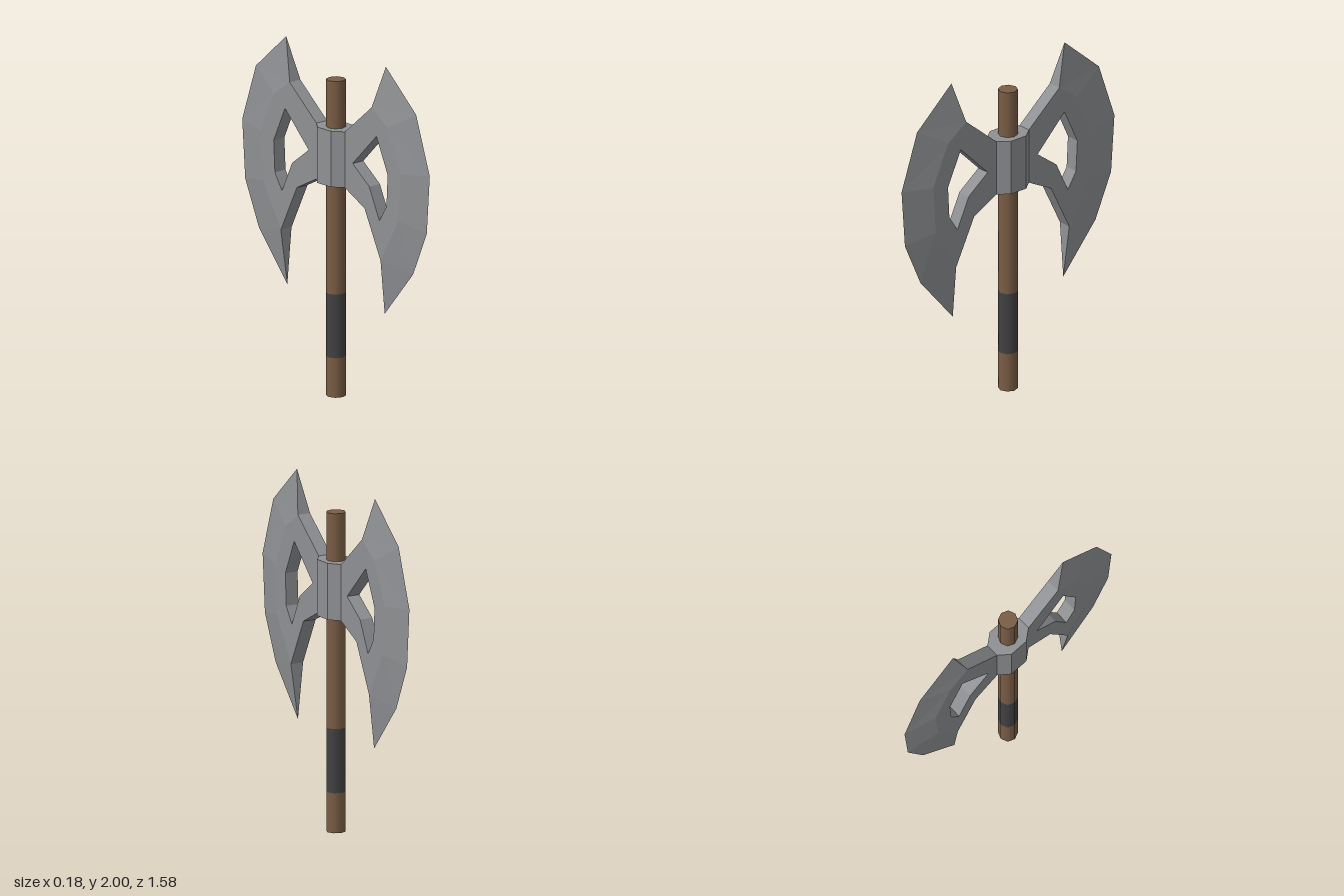
import * as THREE from 'three';

const steel = new THREE.MeshStandardMaterial({ color: 0x8e9093 });
steel.name = 'steel';
const wood = new THREE.MeshStandardMaterial({ color: 0x7a5d45 });
wood.name = 'wood';
const wrap = new THREE.MeshStandardMaterial({ color: 0x434143 });
wrap.name = 'gripWrap';

const T = 0.04; // half thickness of the blade plate

// Points are [z, y, half thickness]
const edge = [[0.42, 2, 0], [0.675, 1.775, 0], [0.79, 1.44, 0], [0.765, 1.1, 0], [0.65, 0.84, 0], [0.41, 0.56, 0]];
const bevel = [[0.345, 1.755, T], [0.48, 1.66, T], [0.59, 1.42, T], [0.57, 1.14, T], [0.42, 0.88, T]];
const root = [[0.285, 1.155, T], [0.12, 1.24, T], [0.12, 1.565, T]];
const hole = [[0.385, 1.595, T], [0.185, 1.395, T], [0.325, 1.29, T], [0.41, 1.11, T], [0.47, 1.205, T], [0.48, 1.39, T]];

function bladeGeometry() {
  const pos = [];
  const put = (p, side) => pos.push(side * p[2], p[1], p[0]);

  // One triangle on each side of the blade, both facing outward
  const face = (a, b, c) => {
    const cross = (b[0] - a[0]) * (c[1] - a[1]) - (b[1] - a[1]) * (c[0] - a[0]);
    if (cross > 0) [b, c] = [c, b];
    [a, b, c].forEach((p) => put(p, 1));
    [a, c, b].forEach((p) => put(p, -1));
  };

  // Wall across the thickness between two outline points
  const wall = (p, q) => {
    if (p[2] > 0) { put(p, 1); put(p, -1); put(q, -1); }
    if (q[2] > 0) { put(p, 1); put(q, -1); put(q, 1); }
  };

  // Flat plate with its opening
  const outline = [...bevel, ...root];
  const all = [...outline, ...hole];
  const flat = (list) => list.map((p) => new THREE.Vector2(p[0], p[1]));
  for (const [a, b, c] of THREE.ShapeUtils.triangulateShape(flat(outline), [flat(hole)])) {
    face(all[a], all[b], all[c]);
  }

  // Sharpened bevel running from tip to tip
  face(bevel[0], edge[0], edge[1]);
  for (let i = 0; i < 4; i++) {
    face(bevel[i], edge[i + 1], bevel[i + 1]);
    if (i < 3) face(edge[i + 1], edge[i + 2], bevel[i + 1]);
  }
  face(bevel[3], edge[3], edge[4]);
  face(bevel[4], edge[4], edge[5]);

  // Inner rims and opening walls
  const lower = [edge[5], bevel[4], root[0], root[1]];
  const upper = [root[2], bevel[0], edge[0]];
  for (const rim of [lower, upper, [...hole, hole[0]]]) {
    for (let i = 0; i + 1 < rim.length; i++) wall(rim[i], rim[i + 1]);
  }

  const g = new THREE.BufferGeometry();
  g.setAttribute('position', new THREE.Float32BufferAttribute(pos, 3));
  g.computeVertexNormals();
  return g;
}

export function createModel() {
  const model = new THREE.Group();
  model.name = 'doubleAxe';
  const add = (name, geometry, material) => {
    const mesh = new THREE.Mesh(geometry, material);
    mesh.name = name;
    model.add(mesh);
    return mesh;
  };

  // Eight-sided shaft in three lengths
  const shaft = (name, y0, y1, material, openEnded = false) => {
    const g = new THREE.CylinderGeometry(0.056, 0.056, y1 - y0, 8, 1, openEnded);
    add(name, g.translate(0, (y0 + y1) / 2, 0), material);
  };
  shaft('pommel', 0, 0.23, wood);
  shaft('grip', 0.23, 0.6, wrap, true);
  shaft('shaft', 0.6, 1.84, wood);

  // Faceted collar clamping the blades
  const ring = [[0.09, 0.057], [0.04, 0.12], [-0.04, 0.12], [-0.09, 0.057],
    [-0.09, -0.057], [-0.04, -0.12], [0.04, -0.12], [0.09, -0.057]];
  const collar = new THREE.ExtrudeGeometry(
    new THREE.Shape(ring.map(([x, z]) => new THREE.Vector2(x, z))),
    { depth: 0.325, bevelEnabled: false });
  add('collar', collar.rotateX(-Math.PI / 2).translate(0, 1.24, 0), steel);

  // Matching blades, front and back
  const blade = bladeGeometry();
  add('frontBlade', blade, steel);
  add('backBlade', blade, steel).rotation.y = Math.PI;

  return model;
}
